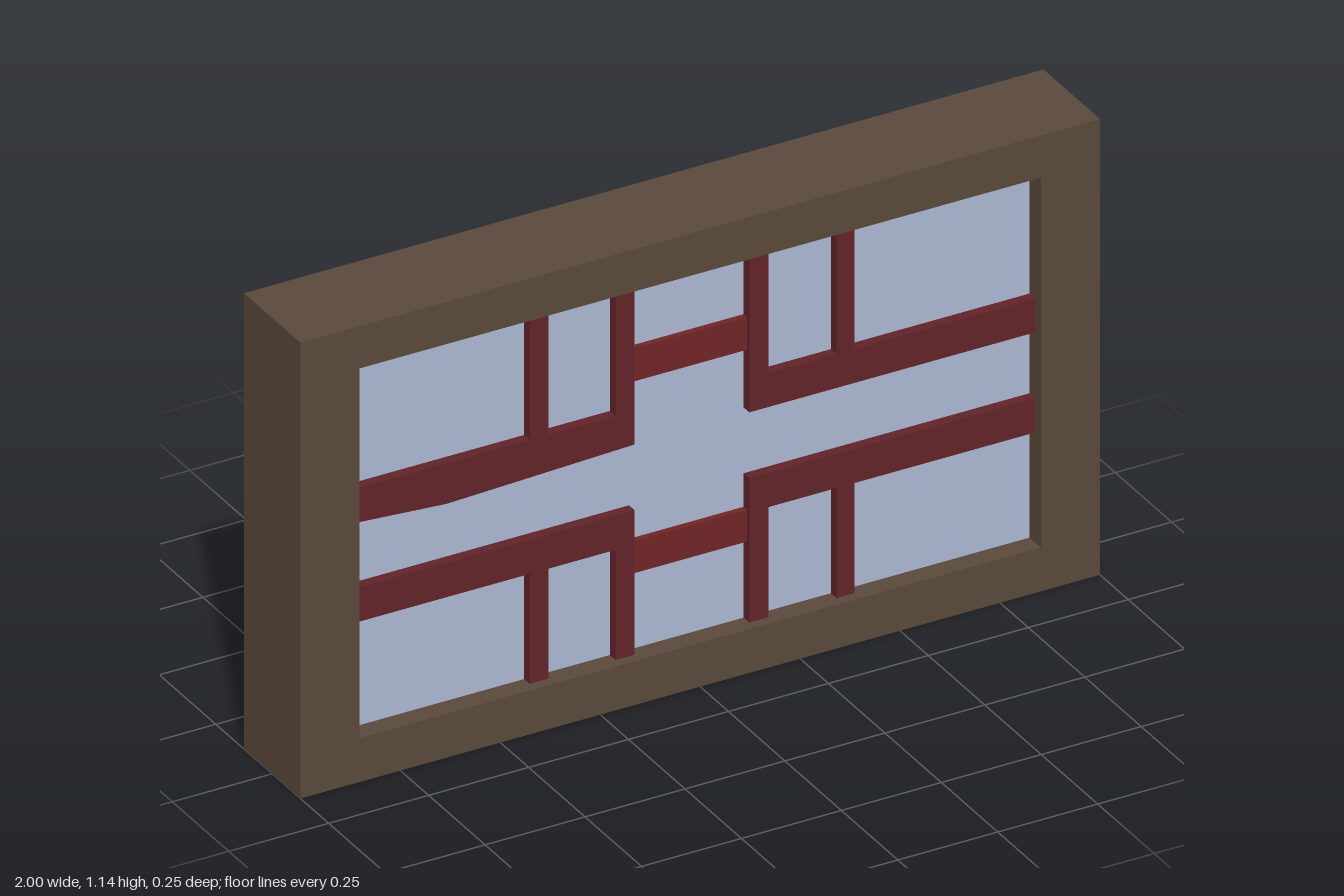
import * as THREE from 'three';

const W = 1, H = 1.143, D = 0.125;                 // half width, height, half depth
const OPEN = { x: 0.852, y0: 0.11, y1: 1.037 };    // window opening
const GLASS_Z = 0.075;

const material = (color, side = THREE.DoubleSide) =>
  new THREE.MeshStandardMaterial({ color, side, flatShading: true });

function mesh(name, geometry, mat) {
  const m = new THREE.Mesh(geometry, mat);
  m.name = name;
  return m;
}

const toShape = (pts) => new THREE.Shape(pts.map(([x, y]) => new THREE.Vector2(x, y)));
const rect = (x0, y0, x1, y1) => [[x0, y0], [x1, y0], [x1, y1], [x0, y1]];
const loop = (pts) => [...pts, pts[0]];

// Thin wall following a path in x/y, spanning z0..z1
function ribbon(pts, z0, z1) {
  const pos = [];
  for (let i = 0; i < pts.length - 1; i++) {
    const [ax, ay] = pts[i], [bx, by] = pts[i + 1];
    pos.push(ax, ay, z0, bx, by, z0, bx, by, z1, ax, ay, z0, bx, by, z1, ax, ay, z1);
  }
  const g = new THREE.BufferGeometry();
  g.setAttribute('position', new THREE.Float32BufferAttribute(pos, 3));
  g.computeVertexNormals();
  return g;
}

// Bar moulding: one front face plus side walls, open at the back and at the ends
function moulding(name, chains, z0, z1, color) {
  const group = new THREE.Group();
  group.name = name;
  const face = new THREE.ShapeGeometry(toShape(chains.flat()));
  face.translate(0, 0, z1);
  group.add(mesh(name + 'Face', face, material(color, THREE.FrontSide)));
  chains.forEach((c) => group.add(mesh(name + 'Edge', ribbon(c, z0, z1), material(color))));
  return group;
}

// One quarter of the lattice: a horizontal bar with two uprights running to the frame
function quarter(name, side, xs, inner, outer, end, sag) {
  const [a, b, c, d] = xs;                          // upright edges, outermost first
  const wall = side * 0.86;
  const chains = [
    [[wall, outer], [a, outer], [a, end]],
    [[b, end], [b, outer], [c, outer], [c, end]],
    [[d, end], [d, inner], ...sag, [wall, inner]],
  ];
  return moulding(name, chains, 0.05, 0.1, 0x63242a);
}

export function createModel() {
  const model = new THREE.Group();
  model.name = 'latticeWindow';

  // Frame: front border, outer walls and reveal, open at the back
  const frame = new THREE.Group();
  frame.name = 'frame';
  const brown = material(0x5c4a3c);
  const outerRect = rect(-W, 0, W, H);
  const openRect = rect(-OPEN.x, OPEN.y0, OPEN.x, OPEN.y1);
  const border = toShape(outerRect);
  border.holes.push(toShape(openRect));
  const borderGeo = new THREE.ShapeGeometry(border);
  borderGeo.translate(0, 0, D);
  frame.add(
    mesh('frontBorder', borderGeo, brown),
    mesh('outerWalls', ribbon(loop(outerRect).reverse(), D, -D), brown),
    mesh('reveal', ribbon(loop(openRect), D, GLASS_Z), brown),
  );
  model.add(frame);

  // Glass pane
  const glass = new THREE.ShapeGeometry(toShape(openRect));
  glass.translate(0, 0, GLASS_Z);
  model.add(mesh('glass', glass, material(0xafbbd5)));

  // Lattice quarters
  const left = [0.4, 0.355, 0.185, 0.137];
  const right = [-0.412, -0.365, -0.198, -0.15];
  model.add(
    quarter('upperLeftLattice', 1, left, 0.637, 0.722, 1.06, []),
    quarter('upperRightLattice', -1, right, 0.637, 0.722, 1.06, [[-0.62, 0.62]]),
    quarter('lowerLeftLattice', 1, left, 0.472, 0.386, 0.04, []),
    quarter('lowerRightLattice', -1, right, 0.472, 0.386, 0.04, []),
  );

  // Short cross bars between the middle uprights
  for (const [name, y0, y1] of [['upperCrossBar', 0.789, 0.871], ['lowerCrossBar', 0.308, 0.388]]) {
    const chains = [[[-0.16, y0], [0.18, y0]], [[0.18, y1], [-0.16, y1]]];
    model.add(moulding(name, chains, 0.045, 0.09, 0x732526));
  }

  return model;
}
